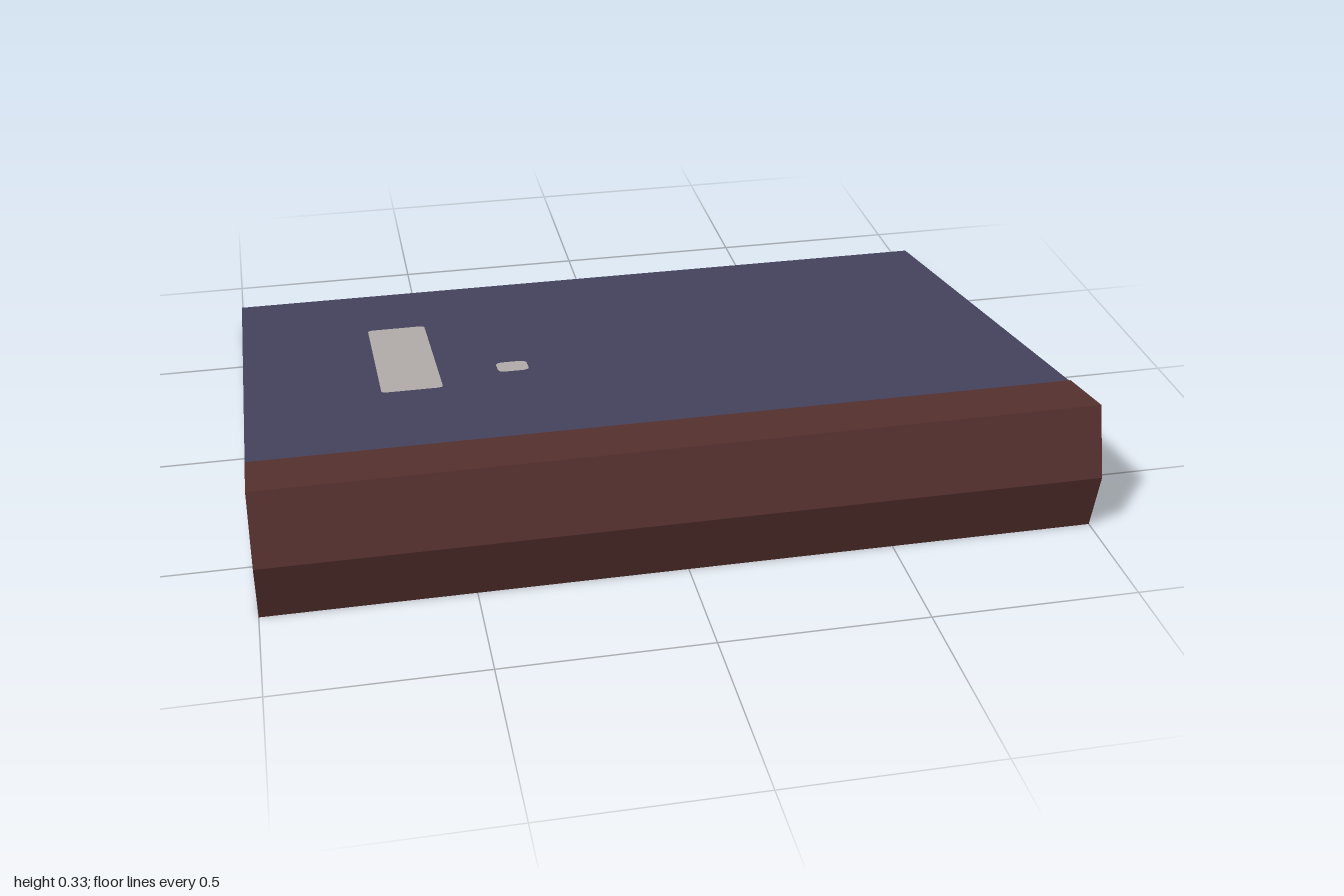
import * as THREE from 'three';

const mat = (name, color, side = THREE.FrontSide) => {
  const m = new THREE.MeshStandardMaterial({ color, side });
  m.name = name;
  return m;
};

// Height of the sloping front cover at depth z
const coverY = (z) => 0.065 + (z + 0.74) * 0.1818;

// Shape from [z, y] points
const profile = (pts) => new THREE.Shape(pts.map(([z, y]) => new THREE.Vector2(z, y)));

// Slab with a side profile in z and y, centred at x
function slab(pts, width, x = 0) {
  const g = new THREE.ExtrudeGeometry(profile(pts), { depth: width, bevelEnabled: false });
  g.translate(0, 0, -width / 2);
  g.rotateY(-Math.PI / 2);
  g.translate(x, 0, 0);
  return g;
}

// Open strip of flat facets across the full width, following [z, y] points
function strip(pts) {
  const pos = [];
  for (let i = 0; i < pts.length - 1; i++) {
    const [za, ya] = pts[i], [zb, yb] = pts[i + 1];
    pos.push(-1, ya, za, 1, ya, za, 1, yb, zb, -1, ya, za, 1, yb, zb, -1, yb, zb);
  }
  const g = new THREE.BufferGeometry();
  g.setAttribute('position', new THREE.Float32BufferAttribute(pos, 3));
  g.computeVertexNormals();
  return g;
}

// Rounded label lying on the sloping cover
function coverLabel(x0, x1, z0, z1, r) {
  const s = new THREE.Shape();
  s.moveTo(x0 + r, -z1);
  s.lineTo(x1 - r, -z1);
  s.quadraticCurveTo(x1, -z1, x1, -z1 + r);
  s.lineTo(x1, -z0 - r);
  s.quadraticCurveTo(x1, -z0, x1 - r, -z0);
  s.lineTo(x0 + r, -z0);
  s.quadraticCurveTo(x0, -z0, x0, -z0 - r);
  s.lineTo(x0, -z1 + r);
  s.quadraticCurveTo(x0, -z1, x0 + r, -z1);
  const g = new THREE.ShapeGeometry(s, 4);
  g.rotateX(-Math.PI / 2);
  const p = g.attributes.position;
  for (let i = 0; i < p.count; i++) p.setY(i, coverY(p.getZ(i)) + 0.003);
  g.computeVertexNormals();
  return g;
}

export function createModel() {
  const root = new THREE.Group();
  root.name = 'binder';
  const navy = mat('navy board', 0x474661);
  const red = mat('dark red cloth', 0x593331, THREE.DoubleSide);
  const light = mat('light paper', 0xb9b4b1);
  const grey = mat('grey paper', 0x868685);
  const add = (name, geometry, material) => {
    const m = new THREE.Mesh(geometry, material);
    m.name = name;
    root.add(m);
  };

  // Folded cover: back board, creased spine and sloping front board
  add('coverShell', slab([
    [-0.74, 0], [0.705, 0], [0.742, 0.155], [0.69, 0.323], [-0.74, 0.065],
    [-0.74, 0.04], [0.68, 0.281], [0.717, 0.155], [0.68, 0.028], [-0.74, 0.028],
  ], 2), navy);

  // Cloth over the spine and the edge of the front board
  add('spineCloth', strip([
    [0.707, 0], [0.744, 0.155], [0.691, 0.326], [0.51, coverY(0.51) + 0.002],
  ]), red);

  // Labels on the front board
  add('longLabel', coverLabel(-0.66, -0.505, -0.4, 0.125, 0.015), light);
  add('smallLabel', coverLabel(-0.355, -0.275, -0.025, 0.05, 0.02), light);

  // Wedge of contents, set in slightly from the ends
  const half = 0.94;
  add('pageBlock', slab([
    [-0.69, 0.03], [0.68, 0.03], [0.692, 0.155], [0.68, 0.278], [-0.69, 0.045],
  ], half * 2), navy);

  // Paper patches on both ends of the contents
  for (const s of [1, -1]) {
    const side = s > 0 ? 'left' : 'right';
    const patch = (name, pts, t, m) => add(side + name, slab(pts, t, s * (half + t / 2)), m);
    patch('PageBand', [
      [-0.68, 0.032], [0.18, 0.032], [0.2, 0.092], [0.55, 0.158], [0.563, 0.17],
      [0.563, 0.222], [0.545, 0.236], [0.41, 0.213], [0.39, 0.227], [-0.68, 0.045],
    ], 0.004, grey);
    patch('PageEdge', [
      [-0.34, 0.074], [-0.3, 0.073], [0.38, 0.205], [0.4, 0.216], [0.39, 0.228], [-0.355, 0.1], [-0.355, 0.088],
    ], 0.007, light);
    patch('LowerPaper', [
      [-0.075, 0.031], [0.198, 0.031], [0.2, 0.085], [0.185, 0.093], [0.07, 0.072], [0.05, 0.056], [-0.07, 0.04],
    ], 0.007, light);
    patch('SmallPaper', [
      [0.35, 0.032], [0.42, 0.032], [0.432, 0.042], [0.42, 0.056], [0.39, 0.054], [0.345, 0.04],
    ], 0.007, light);
  }
  return root;
}
